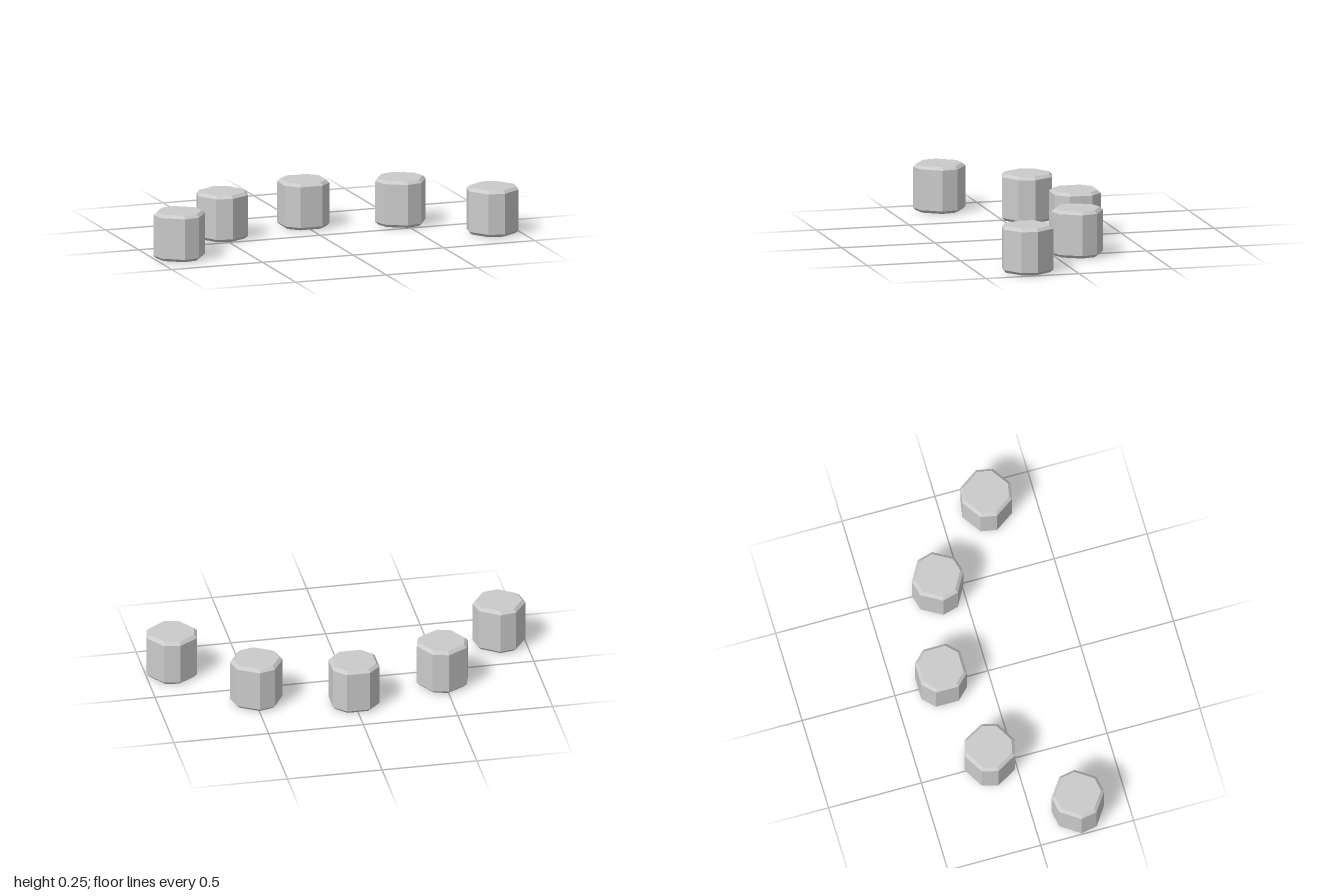
import * as THREE from 'three';

const HALF = 0.1225;   // half width of the block
const FLAT = 0.0613;   // half length of each main side
const HEIGHT = 0.246;
const BEVEL = 0.0155;

// Square block with cut corners and bevelled rims, standing on y = 0
function blockGeometry() {
  const a = HALF, b = FLAT;
  const outline = new THREE.Shape([
    [a, -b], [a, b], [b, a], [-b, a], [-a, b], [-a, -b], [-b, -a], [b, -a],
  ].map(([x, y]) => new THREE.Vector2(x, y)));
  const geometry = new THREE.ExtrudeGeometry(outline, {
    depth: HEIGHT - 2 * BEVEL,
    bevelEnabled: true,
    bevelSegments: 1,
    bevelThickness: BEVEL,
    bevelSize: BEVEL,
    bevelOffset: -BEVEL,
  });
  return geometry.rotateX(-Math.PI / 2).translate(0, BEVEL, 0);
}

export function createModel() {
  const group = new THREE.Group();
  group.name = 'blockArc';
  const geometry = blockGeometry();
  const material = new THREE.MeshStandardMaterial({ color: 0xcccccc, flatShading: true });

  const addBlock = (name, x, z, degrees) => {
    const mesh = new THREE.Mesh(geometry, material);
    mesh.name = name;
    mesh.position.set(x, 0, z);
    mesh.rotation.y = THREE.MathUtils.degToRad(degrees);
    group.add(mesh);
  };

  // Five blocks in an arc, each turned to face its centre
  addBlock('centerBlock', 0, -0.2525, 0);
  for (const [side, s] of [['left', 1], ['right', -1]]) {
    addBlock(side + 'InnerBlock', s * 0.491, -0.13, -s * 30);
    addBlock(side + 'OuterBlock', s * 0.864, 0.239, -s * 55.5);
  }
  return group;
}
